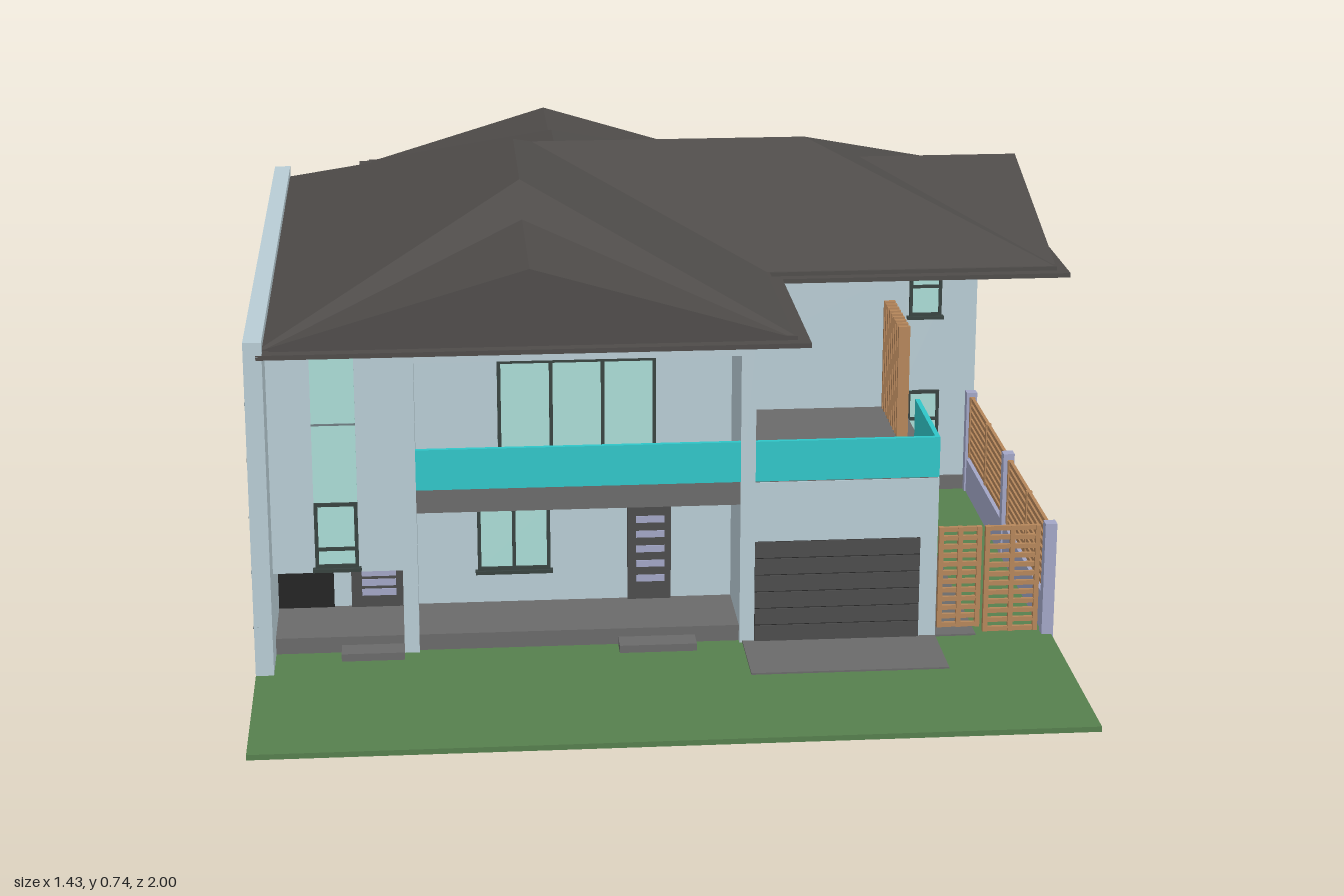
import * as THREE from 'three';

const palette = {
  wall: 0xb8ccd4, roof: 0x4e4b49, soffit: 0x55566a, grass: 0x567f4d, grey: 0x6a6a6a, dark: 0x4c4c4c,
  frame: 0x37423f, glass: 0xaadcd6, balcony: 0x2fc6c8, fence: 0xa2a6c6, wood: 0xb5865a, black: 0x222222, seam: 0x6f7d82,
};
const mats = {};
for (const k in palette) mats[k] = new THREE.MeshStandardMaterial({ color: palette[k] });
mats.roof.flatShading = true;

function add(parent, name, geo, mat) {
  const m = new THREE.Mesh(geo, mats[mat]);
  m.name = name;
  parent.add(m);
  return m;
}
// Box from its limits
function box(parent, name, mat, x0, x1, y0, y1, z0, z1) {
  const g = new THREE.BoxGeometry(x1 - x0, y1 - y0, z1 - z0);
  g.translate((x0 + x1) / 2, (y0 + y1) / 2, (z0 + z1) / 2);
  return add(parent, name, g, mat);
}
// Group placed on a wall, its local +z pointing out of the wall
function mount(parent, name, x, z, turn) {
  const g = new THREE.Group();
  g.name = name;
  g.position.set(x, 0, z);
  g.rotation.y = turn * Math.PI / 2;
  parent.add(g);
  return g;
}

// Framed window with vertical panes and an optional cross rail; turn: 0 front, 1 right side, 2 back, 3 left side
function windowUnit(parent, x, z, turn, w, y0, y1, panes = 1, rail = 0) {
  const g = mount(parent, 'window', x, z, turn), t = 0.006, h = w / 2;
  box(g, 'windowGlass', 'glass', -h, h, y0, y1, -0.01, 0.003);
  for (let i = 0; i <= panes; i++) {
    const p = -h + (w - t) * i / panes;
    box(g, 'windowStile', 'frame', p, p + t, y0, y1, -0.01, 0.007);
  }
  for (const y of [y0, y1 - t]) box(g, 'windowRail', 'frame', -h, h, y, y + t, -0.01, 0.007);
  if (rail) box(g, 'windowCrossRail', 'frame', -h, h, rail, rail + t, -0.01, 0.006);
  box(g, 'windowSill', 'frame', -h - 0.004, h + 0.004, y0 - 0.006, y0, -0.01, 0.012);
}
// Dark door with pale horizontal inlays
function door(parent, x, z, turn, w, y0, y1) {
  const g = mount(parent, 'door', x, z, turn), h = w / 2;
  box(g, 'doorLeaf', 'dark', -h, h, y0, y1, -0.01, 0.007);
  for (let i = 0; i < 5; i++) {
    const y = y0 + (y1 - y0) * (0.18 + 0.15 * i);
    box(g, 'doorInlay', 'fence', -h * 0.6, h * 0.7, y, y + 0.012, 0, 0.009);
  }
}
// Slatted panel between two local x limits
function slats(g, x0, x1, y0, y1, count) {
  for (let i = 0; i < count; i++) {
    const y = y0 + (y1 - y0 - 0.008) * i / (count - 1);
    box(g, 'fenceSlat', 'wood', x0, x1, y, y + 0.008, -0.003, 0.003);
  }
  for (let i = 0; i < 3; i++) {
    const x = x0 + (x1 - x0 - 0.008) * i / 2;
    box(g, 'fenceUpright', 'wood', x, x + 0.008, y0, y1, -0.005, 0.005);
  }
}
// Fence run along local x: low wall, pillars and slatted panels
function fence(parent, x, z, turn, length, bays) {
  const g = mount(parent, 'fence', x, z, turn), step = length / bays;
  box(g, 'fenceBase', 'fence', 0, length, 0, 0.078, -0.007, 0.007);
  for (let i = 0; i <= bays; i++) {
    const c = THREE.MathUtils.clamp(i * step, 0.01, length - 0.01);
    box(g, 'fencePillar', 'fence', c - 0.01, c + 0.01, 0, 0.212, -0.01, 0.01);
    if (i < bays) slats(g, i * step + 0.022, (i + 1) * step - 0.022, 0.084, 0.205, 9);
  }
}

// Hipped roof over a rectangle, equal pitch on all four sides
function hipRoof(parent, name, x0, x1, z0, z1, y, pitch) {
  const h = Math.min(x1 - x0, z1 - z0) / 2, top = y + h * pitch, alongX = x1 - x0 > z1 - z0;
  const A = [x0 + h, top, z0 + h], B = [x1 - h, top, z1 - h];
  const c = [[x0, y, z1], [x1, y, z1], [x1, y, z0], [x0, y, z0]];
  const r = [alongX ? A : B, B, alongX ? B : A, A];
  const pos = [];
  for (let i = 0; i < 4; i++) {
    const j = (i + 1) % 4;
    pos.push(...c[i], ...c[j], ...r[j]);
    if (r[i] !== r[j]) pos.push(...c[i], ...r[j], ...r[i]);
  }
  const g = new THREE.BufferGeometry();
  g.setAttribute('position', new THREE.Float32BufferAttribute(pos, 3));
  g.computeVertexNormals();
  add(parent, name, g, 'roof');
}
// Triangular prism, extruded along z from z0 to z1
function gable(parent, name, x0, x1, y0, y1, z0, z1) {
  const s = new THREE.Shape([[x0, y0], [x1, y0], [(x0 + x1) / 2, y1]].map(p => new THREE.Vector2(...p)));
  const g = new THREE.ExtrudeGeometry(s, { depth: z1 - z0, bevelEnabled: false });
  return add(parent, name, g.translate(0, 0, z0), 'roof');
}
// Flat slab following the eaves, shrunk by d
function eaves(parent, name, mat, d, y0, y1) {
  const pts = [[-0.695 + d, 0.69 - d], [0.2 - d, 0.69 - d], [0.2 - d, 0.3 - d], [0.71 - d, 0.3 - d], [0.71 - d, -0.54 + d],
    [0.2 - d, -0.54 + d], [0.2 - d, -0.67 + d], [-0.55 + d, -0.67 + d], [-0.55 + d, -0.54 + d], [-0.695 + d, -0.54 + d]];
  const s = new THREE.Shape(pts.map(([x, z]) => new THREE.Vector2(x, -z)));
  const g = new THREE.ExtrudeGeometry(s, { depth: y1 - y0, bevelEnabled: false });
  add(parent, name, g.rotateX(-Math.PI / 2).translate(0, y0, 0), mat);
}

export function createModel() {
  const root = new THREE.Group();
  root.name = 'house';
  const b = (...a) => box(root, ...a);

  // Plot, paving and foundations
  b('lawn', 'grass', -0.715, 0.63, 0.003, 0.012, -1, 1);
  b('driveway', 'grey', 0.1, 0.43, 0.005, 0.015, 0.6, 0.75);
  b('sidePath', 'grey', 0.43, 0.5, 0.005, 0.015, -0.135, 0.61);
  b('foundation', 'grey', -0.685, 0.434, 0, 0.04, -0.464, 0.234);
  b('frontFoundation', 'grey', -0.685, 0.12, 0, 0.04, 0.2, 0.6);
  b('wingFoundation', 'grey', 0.4, 0.634, 0, 0.04, -0.464, -0.131);
  b('backTerrace', 'grey', -0.47, 0.12, 0, 0.03, -0.66, -0.46);
  b('frontStep', 'grey', -0.11, 0.02, 0, 0.025, 0.58, 0.64);
  b('sideStep', 'grey', -0.575, -0.47, 0, 0.025, 0.58, 0.64);

  // Walls
  b('mainWalls', 'wall', -0.685, 0.43, 0.001, 0.556, -0.46, 0.23);
  b('frontWalls', 'wall', -0.685, 0.12, 0.001, 0.556, 0.2, 0.46);
  b('wingWalls', 'wall', 0.4, 0.63, 0.001, 0.556, -0.46, -0.135);
  b('stairBay', 'wall', -0.685, -0.445, 0.16, 0.556, 0.45, 0.61);
  b('porchFin', 'wall', -0.47, -0.445, 0.001, 0.17, 0.45, 0.61);
  b('garageWalls', 'wall', 0.095, 0.43, 0.001, 0.298, 0.2, 0.61);
  b('garageTerraceFloor', 'grey', 0.12, 0.428, 0.295, 0.302, 0.23, 0.608);
  b('partyWall', 'wall', -0.715, -0.685, 0, 0.585, -0.54, 0.69);
  for (let i = 1; i < 6; i++) b('wallSeam', 'seam', -0.716, -0.7, i * 0.096, i * 0.096 + 0.002, -0.54, 0.69);

  // Front and back balconies, each framed by fins and a lintel
  for (const [s, near, far] of [[1, 0.45, 0.61], [-1, 0.45, 0.585]]) {
    const z = (a, c) => (s > 0 ? [a, c] : [-c, -a]);
    for (const x of [-0.47, 0.095]) {
      b('balconyFin', 'wall', x, x + 0.025, 0.26, 0.556, ...z(near, far));
      if (s < 0) b('lowerFin', 'wall', x, x + 0.025, 0.001, 0.26, ...z(near, 0.53));
    }
    b('balconyLintel', 'wall', -0.445, 0.095, 0.52, 0.556, ...z(near, far));
    b('balconySlab', 'grey', -0.445, 0.095, 0.26, 0.3, ...z(near, far));
    b('balconyGlass', 'balcony', -0.445, 0.095, 0.3, 0.37, ...z(far - 0.008, far));
    windowUnit(root, -0.17, s * 0.461, s > 0 ? 0 : 2, 0.27, 0.3, 0.478, 3);
  }
  b('terraceGlassFront', 'balcony', 0.12, 0.43, 0.3, 0.37, 0.602, 0.61);
  b('terraceGlassSide', 'balcony', 0.422, 0.43, 0.3, 0.37, 0.4, 0.61);
  for (let i = 0; i < 9; i++) {
    const z = 0.235 + i * 0.02;
    b('privacySlat', 'wood', 0.39, 0.41, 0.3, 0.502, z, z + 0.008);
  }

  // Doors and garage
  door(root, -0.047, 0.46, 0, 0.075, 0.04, 0.22);
  door(root, -0.515, 0.46, 0, 0.09, 0.04, 0.158);
  door(root, 0.12, 0.355, 1, 0.07, 0.302, 0.5);
  door(root, 0.43, 0.135, 1, 0.065, 0.04, 0.215);
  b('porchRecess', 'black', -0.685, -0.59, 0.04, 0.158, 0.455, 0.464);
  for (let i = 0; i < 6; i++) b('garageDoorPanel', 'dark', 0.12, 0.4, 0.015 + i * 0.03, 0.043 + i * 0.03, 0.6, 0.614);
  b('garageDoorBack', 'black', 0.12, 0.4, 0.015, 0.193, 0.6, 0.612);

  // Front windows
  windowUnit(root, -0.28, 0.46, 0, 0.125, 0.1, 0.218, 2);
  windowUnit(root, -0.578, 0.61, 0, 0.072, 0.17, 0.284, 1, 0.2);
  b('stairGlass', 'glass', -0.614, -0.542, 0.284, 0.54, 0.6, 0.613);
  b('stairGlassBar', 'seam', -0.614, -0.542, 0.418, 0.421, 0.6, 0.615);
  // Upper and lower windows on the other sides
  for (const [y0, y1] of [[0.365, 0.478], [0.1, 0.215]]) {
    const rail = y0 + 0.055;
    windowUnit(root, 0.53, -0.135, 0, 0.062, y0, y1, 1, rail);
    windowUnit(root, 0.63, -0.345, 1, 0.062, y0, y1, 1, rail);
    windowUnit(root, 0.43, -0.06, 1, 0.125, y0, y1, 2);
    for (const x of [0.54, 0.3, -0.59]) windowUnit(root, x, -0.46, 2, 0.062, y0, y1, 1, rail);
  }
  windowUnit(root, 0.43, 0.135, 1, 0.062, 0.365, 0.478, 1, 0.42);
  windowUnit(root, 0.43, 0.39, 1, 0.125, 0.16, 0.218, 2);
  windowUnit(root, -0.17, -0.46, 2, 0.27, 0.04, 0.22, 3);

  // Roof: eaves, hips and gables meeting in valleys
  eaves(root, 'soffit', 'soffit', 0.012, 0.552, 0.557);
  eaves(root, 'eaves', 'roof', 0, 0.555, 0.563);
  eaves(root, 'eavesStep', 'roof', 0.02, 0.56, 0.57);
  hipRoof(root, 'mainRoof', -0.69, 0.18, -0.52, 0.67, 0.568, 0.385);
  hipRoof(root, 'crossRoof', -0.69, 0.69, -0.52, 0.28, 0.568, 0.385);
  hipRoof(root, 'backRoof', -0.53, 0.18, -0.65, 0.28, 0.568, 0.385);
  gable(root, 'frontGable', -0.69, 0.18, 0.565, 0.692, 0.26, 0.67);
  gable(root, 'backGable', -0.53, 0.18, 0.565, 0.672, -0.65, -0.3);
  gable(root, 'sideGable', -0.28, 0.52, 0.565, 0.682, 0.3, 0.69).rotation.y = Math.PI / 2;

  // Fences and front gate
  fence(root, 0.623, 0.615, 1, 0.75, 2);
  fence(root, 0.623, -0.46, 1, 0.54, 2);
  fence(root, -0.705, -0.99, 0, 1.335, 4);
  fence(root, -0.705, -0.54, 1, 0.46, 2);
  const gate = mount(root, 'gate', 0, 0.61, 0);
  slats(gate, 0.432, 0.505, 0.03, 0.21, 12);
  slats(gate, 0.511, 0.605, 0.02, 0.21, 12);
  return root;
}
